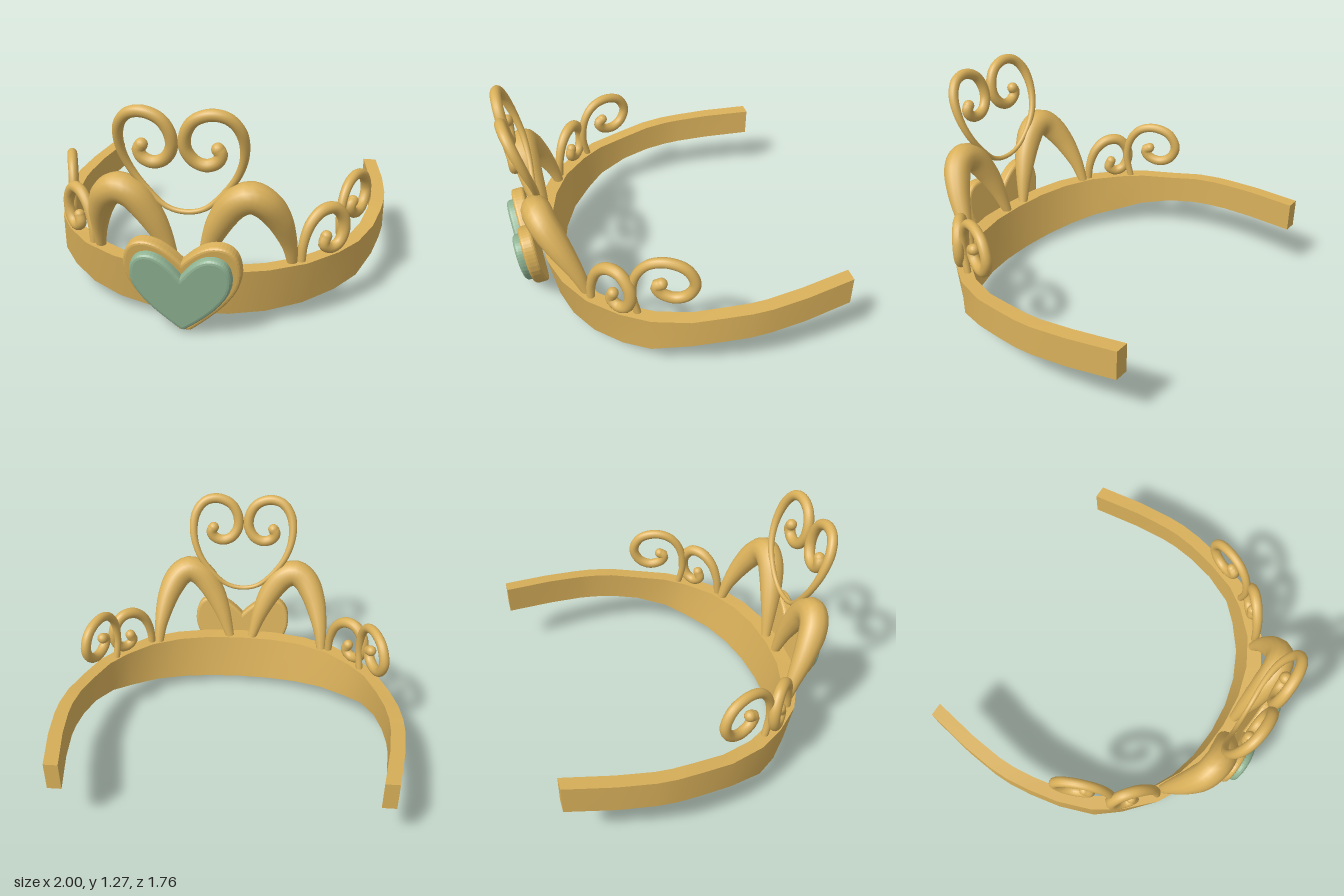
import * as THREE from 'three';

const gold = new THREE.MeshStandardMaterial({ color: 0xd9b05a });
gold.name = 'gold';
const gem = new THREE.MeshStandardMaterial({ color: 0x90b494 });
gem.name = 'green gem';

const mesh = (name, geometry, material = gold) => {
  const m = new THREE.Mesh(geometry, material);
  m.name = name;
  return m;
};
const V = (p) => new THREE.Vector3(...p);

// Round wire along a smooth path, with a radius that varies along its length
function wire(name, points, radii, segments, roundEnds = [false, true]) {
  const curve = new THREE.CatmullRomCurve3(points.map(V));
  const radial = 14;
  const geo = new THREE.TubeGeometry(curve, segments, 1, radial, false);
  const pos = geo.attributes.position;
  const radiusAt = (u) => {
    const t = u * (radii.length - 1), k = Math.min(Math.floor(t), radii.length - 2);
    return THREE.MathUtils.lerp(radii[k], radii[k + 1], t - k);
  };
  const v = new THREE.Vector3();
  for (let i = 0; i <= segments; i++) {
    const c = curve.getPointAt(i / segments), r = radiusAt(i / segments);
    for (let j = 0; j <= radial; j++) {
      const n = i * (radial + 1) + j;
      v.fromBufferAttribute(pos, n).sub(c).multiplyScalar(r).add(c);
      pos.setXYZ(n, v.x, v.y, v.z);
    }
  }
  const group = new THREE.Group();
  group.name = name;
  group.add(mesh(name + 'Wire', geo));
  roundEnds.forEach((on, e) => {
    if (!on) return;
    const ball = mesh(name + 'Tip', new THREE.SphereGeometry(radiusAt(e), 14, 10));
    ball.position.copy(curve.getPointAt(e));
    group.add(ball);
  });
  return group;
}

// Open band: [inner x, z, bottom y, top y, outward flare of the top], rear to front
const BAND = [
  [.85, -.885, .315, .485, 0], [.9, -.6, .287, .46, 0], [.92, -.4, .268, .44, 0],
  [.92, -.3, .258, .432, 0], [.905, -.17, .245, .42, 0], [.87, 0, .215, .39, 0],
  [.8, .18, .165, .375, .005], [.7, .29, .13, .365, .025], [.55, .41, .1, .355, .045],
  [.38, .49, .075, .345, .055], [.2, .535, .06, .337, .06], [0, .55, .055, .333, .06],
];

function bandGeometry() {
  const path = [...BAND, ...BAND.slice(0, -1).reverse().map(([x, ...r]) => [-x, ...r])];
  const last = path.length - 1;
  const sections = path.map(([x, z, yb, yt, flare], i) => {
    const a = path[Math.max(i - 1, 0)], b = path[Math.min(i + 1, last)];
    let nx = b[1] - a[1], nz = a[0] - b[0];
    const l = Math.hypot(nx, nz);
    nx /= l; nz /= l;
    if (i === 0 || i === last) { nx = Math.sign(x); nz = 0; }
    const at = (d, y) => [x + nx * d, y, z + nz * d];
    const w = .08 + flare * .2;
    return [at(0, yb), at(w, yb), at(w + flare, yt), at(flare, yt)];
  });
  const pos = [], index = [];
  // four walls, each with its own vertices so the edges stay sharp
  for (let k = 0; k < 4; k++) {
    const base = pos.length / 3;
    sections.forEach((s) => pos.push(...s[k], ...s[(k + 1) % 4]));
    for (let i = 0; i < last; i++) {
      const a = base + i * 2;
      index.push(a, a + 1, a + 2, a + 1, a + 3, a + 2);
    }
  }
  // end caps
  [[...sections[0]].reverse(), sections[last]].forEach((s) => {
    const a = pos.length / 3;
    s.forEach((p) => pos.push(...p));
    index.push(a, a + 1, a + 2, a, a + 2, a + 3);
  });
  const geo = new THREE.BufferGeometry();
  geo.setAttribute('position', new THREE.Float32BufferAttribute(pos, 3));
  geo.setIndex(index);
  geo.computeVertexNormals();
  return geo;
}

// Heart plate with a softened rim
function heart(w, tip, wide, top, notch, blunt, depth, bevel) {
  const s = new THREE.Shape();
  const h = wide - tip, t = top - wide;
  s.moveTo(blunt, tip);
  s.bezierCurveTo(w * .45, tip + h * .25, w, tip + h * .64, w, wide);
  s.bezierCurveTo(w, wide + t * .65, w * .86, top, w * .62, top);
  s.bezierCurveTo(w * .38, top, w * .17, notch + (top - notch) * .5, 0, notch);
  s.bezierCurveTo(-w * .17, notch + (top - notch) * .5, -w * .38, top, -w * .62, top);
  s.bezierCurveTo(-w * .86, top, -w, wide + t * .65, -w, wide);
  s.bezierCurveTo(-w, tip + h * .64, -w * .45, tip + h * .25, -blunt, tip);
  s.closePath();
  const geo = new THREE.ExtrudeGeometry(s, {
    depth: depth - bevel, curveSegments: 10, bevelEnabled: true,
    bevelSize: bevel, bevelThickness: bevel, bevelOffset: -bevel, bevelSegments: 3,
  });
  return geo;
}

export function createModel() {
  const tiara = new THREE.Group();
  tiara.name = 'tiara';
  tiara.add(mesh('band', bandGeometry()));

  // Forward-leaning centre medallion
  const medallion = new THREE.Group();
  medallion.name = 'medallion';
  medallion.add(mesh('heartSetting', heart(.315, 0, .39, .55, .435, .03, .06, .018)));
  const stone = mesh('heartGem', heart(.272, .035, .37, .5, .372, .008, .05, .022), gem);
  stone.position.z = .055;
  medallion.add(stone);
  medallion.position.set(0, .008, .685);
  medallion.rotation.x = .16;
  tiara.add(medallion);

  // Tall heart scroll, one wire from curl to curl
  const half = [
    [.1, .695, .7], [.2, .785, .702], [.28, .9, .72], [.318, 1.03, .76],
    [.305, 1.15, .805], [.25, 1.22, .835], [.17, 1.238, .848], [.085, 1.205, .846],
    [.04, 1.135, .835], [.035, 1.055, .82], [.075, .99, .805], [.135, .968, .8],
    [.19, .99, .8], [.208, 1.03, .8], [.193, 1.055, .802],
  ];
  const flip = ([x, y, z]) => [-x, y, z];
  const r = [.034, .033, .032, .031, .029, .022, .018, .014];
  tiara.add(wire('heartScroll',
    [...half.map(flip).reverse(), [0, .672, .7], ...half],
    [...r, ...[...r].reverse()], 180, [true, true]));

  // Small scrolls lie in slanted planes that follow the band
  const innerScroll = [
    [.585, .33], [.592, .45], [.625, .56], [.68, .62], [.74, .622], [.785, .56], [.795, .48],
    [.77, .41], [.73, .39], [.695, .42], [.705, .465],
  ].map(([x, y]) => [x, y, .48 - (x - .6) * .85]);
  const outerScroll = [
    [.27, .35], [.3, .5], [.28, .63], [.22, .71], [.13, .735], [.035, .7], [-.008, .61],
    [.025, .53], [.09, .5], [.16, .525], [.182, .57], [.155, .588],
  ].map(([z, y]) => [.888 - z * .4, y, z]);
  const arch = [
    [.54, .33, .5], [.525, .47, .55], [.475, .65, .64], [.41, .755, .7], [.345, .787, .72],
    [.27, .755, .72], [.19, .645, .7], [.125, .5, .67], [.075, .33, .64],
  ];
  [['left', (p) => p], ['right', flip]].forEach(([side, fn]) => {
    tiara.add(
      wire(side + 'Arch', arch.map(fn), [.026, .042, .062, .078, .084, .08, .066, .046, .028], 48, [false, false]),
      wire(side + 'InnerScroll', innerScroll.map(fn), [.022, .028, .034, .034, .032, .032], 70),
      wire(side + 'OuterScroll', outerScroll.map(fn), [.02, .024, .028, .03, .031, .032], 70),
    );
  });
  return tiara;
}
